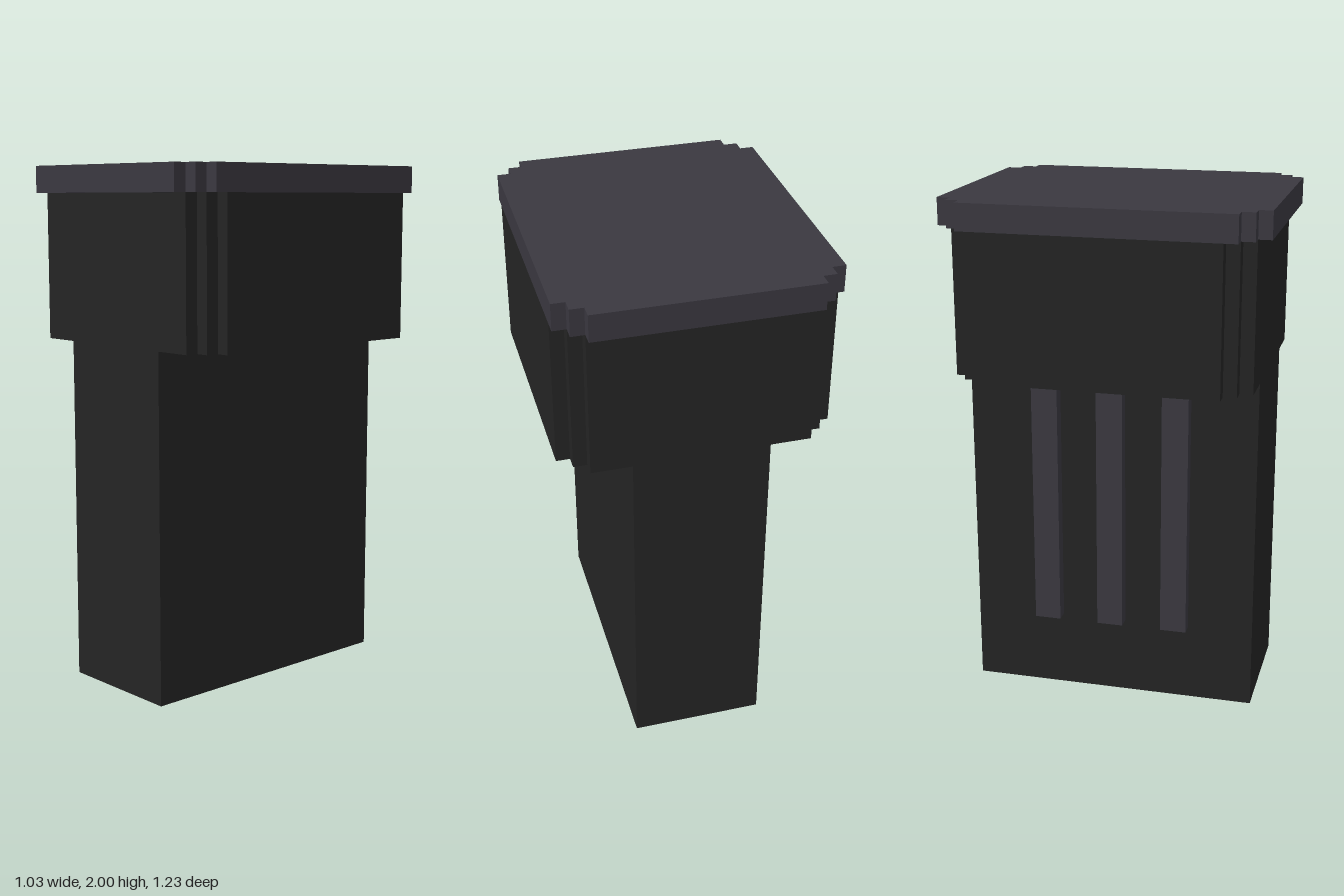
import * as THREE from 'three';

const U = 2 / 39; // one grid step of the blocky design

// Rectangle outline with two-step notched corners
function steppedShape(hx, hz) {
  const corner = [[hx, hz - 2], [hx - 1, hz - 2], [hx - 1, hz - 1], [hx - 2, hz - 1], [hx - 2, hz]];
  const mirrored = (sx, sz) => corner.map(([x, z]) => new THREE.Vector2(x * sx * U, z * sz * U));
  return new THREE.Shape([
    ...mirrored(1, 1),
    ...mirrored(-1, 1).reverse(),
    ...mirrored(-1, -1),
    ...mirrored(1, -1).reverse(),
  ]);
}

// Upright slab with the stepped outline, from y0 to y1 (grid steps)
function steppedSlab(name, hx, hz, y0, y1, material) {
  const geometry = new THREE.ExtrudeGeometry(steppedShape(hx, hz), {
    depth: (y1 - y0) * U, bevelEnabled: false,
  });
  geometry.rotateX(-Math.PI / 2);
  const mesh = new THREE.Mesh(geometry, material);
  mesh.name = name;
  mesh.position.y = y0 * U;
  return mesh;
}

// Box given by its size and centre in grid steps
function block(name, size, centre, material) {
  const mesh = new THREE.Mesh(new THREE.BoxGeometry(...size.map((s) => s * U)), material);
  mesh.name = name;
  mesh.position.set(...centre.map((c) => c * U));
  return mesh;
}

export function createModel() {
  const black = new THREE.MeshStandardMaterial({ color: 0x242424 });
  black.name = 'black';
  const slate = new THREE.MeshStandardMaterial({ color: 0x3a3840 });
  slate.name = 'slate grey';

  const model = new THREE.Group();
  model.name = 'pedestal';

  // Stem, widened head and overhanging cap
  model.add(block('stem', [10, 26, 22], [0, 13, 0], black));
  model.add(steppedSlab('head', 10, 11, 26, 37, black));
  model.add(steppedSlab('cap', 10, 12, 37, 39, slate));

  // Three raised ribs on the right side of the stem
  const ribs = new THREE.Group();
  ribs.name = 'ribs';
  for (const z of [-5, 0, 5]) ribs.add(block('rib', [1, 20, 2], [-5.5, 16, z], slate));
  model.add(ribs);

  return model;
}
